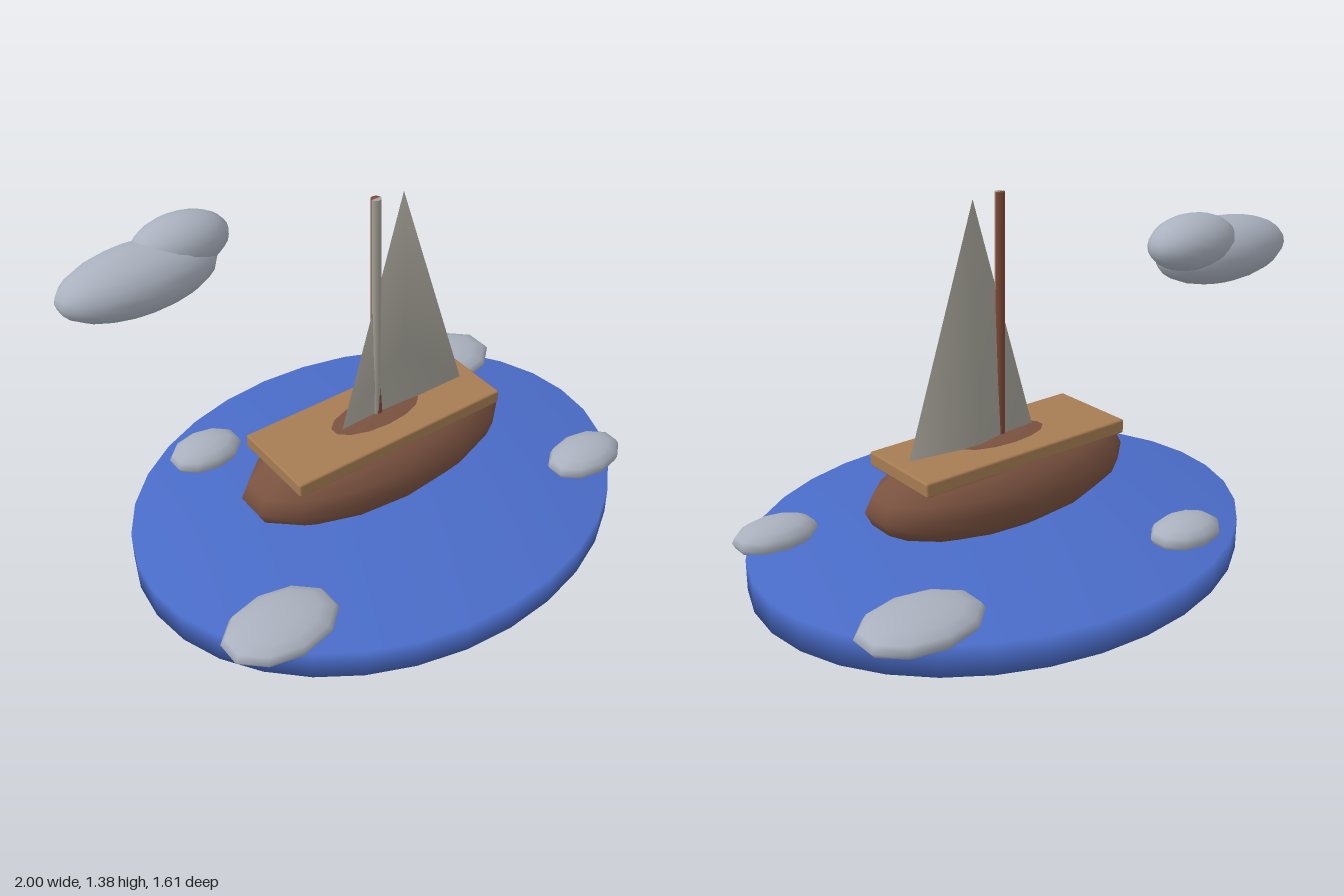
import * as THREE from 'three';
import { mergeVertices } from 'three/addons/utils/BufferGeometryUtils.js';
import { RoundedBoxGeometry } from 'three/addons/geometries/RoundedBoxGeometry.js';

const paint = (name, color, side = THREE.FrontSide) => {
  const m = new THREE.MeshStandardMaterial({ color, side });
  m.name = name;
  return m;
};

export function createModel() {
  const water = paint('water blue', 0x4a6cc8);
  const hullBrown = paint('hull brown', 0x7a5240);
  const deckTan = paint('deck tan', 0xa67c52);
  const mist = paint('cloud grey', 0xaab1be);
  const canvas = paint('sail grey', 0xa5a298, THREE.DoubleSide);
  const mastBrown = paint('mast brown', 0x7d4836, THREE.DoubleSide);

  const model = new THREE.Group();
  model.name = 'sailboatScene';
  const add = (name, geometry, material, [x, y, z]) => {
    const mesh = new THREE.Mesh(geometry, material);
    mesh.name = name;
    mesh.position.set(x, y, z);
    model.add(mesh);
    return mesh;
  };

  // Ellipsoid whose ring has a corner at each z end
  const ellipsoid = (rx, ry, rz, sides, rings) =>
    new THREE.SphereGeometry(1, sides, rings).rotateY(Math.PI / 2).scale(rx, ry, rz);

  // Soft-edged oval of water
  let sea = new THREE.CylinderGeometry(1, 1, 0.12, 32).scale(0.985, 1, 0.805);
  sea.deleteAttribute('normal');
  sea.deleteAttribute('uv');
  sea = mergeVertices(sea);
  sea.computeVertexNormals();
  add('sea', sea, water, [0.015, 0.06, 0]);

  // Hull rises slightly through the deck
  add('hull', ellipsoid(0.58, 0.177, 0.254, 14, 10), hullBrown, [0.012, 0.299, -0.002]);
  add('deck', new RoundedBoxGeometry(0.92, 0.055, 0.355, 2, 0.008), deckTan, [0.012, 0.4375, -0.003]);

  // Mast: pale front half, brown back half, tapered brown foot
  const halfMast = (start) =>
    new THREE.CylinderGeometry(0.019, 0.019, 0.94, 6, 1, false, start, Math.PI);
  add('mastFront', halfMast(-Math.PI / 2), canvas, [0.012, 0.91, 0]);
  add('mastBack', halfMast(Math.PI / 2), mastBrown, [0.012, 0.91, 0]);
  add('mastFoot', new THREE.CylinderGeometry(0.006, 0.018, 0.2, 8), mastBrown, [0.018, 0.55, 0.006]);

  // Thin triangular sail, bellied towards the back
  const sail = new THREE.BufferGeometry();
  sail.setAttribute('position', new THREE.Float32BufferAttribute([
    -0.15, 0.465, 0.01,
    0.41, 0.465, 0.013,
    0.13, 1.37, 0,
    0.13, 0.73, 0.015,
    0.13, 0.465, -0.034,
  ], 3));
  sail.setIndex([0, 1, 3, 1, 2, 3, 2, 0, 3, 1, 4, 2, 4, 0, 2, 0, 4, 1]);
  sail.computeVertexNormals();
  add('sail', sail, canvas, [0, 0, 0]);

  // Foam patches on the water: x, z, radius x, radius z
  [
    [-0.705, 0.416, 0.224, 0.154],
    [0.697, -0.45, 0.239, 0.165],
    [0.76, 0.383, 0.168, 0.109],
    [-0.435, -0.537, 0.152, 0.107],
  ].forEach(([x, z, rx, rz], i) =>
    add('foam' + (i + 1), ellipsoid(rx, 0.06, rz, 10, 8), mist, [x, 0.14, z]));

  // Cloud in the sky
  add('cloudLarge', ellipsoid(0.302, 0.117, 0.147, 18, 14), mist, [-0.7, 1.137, -0.389]);
  add('cloudSmall', ellipsoid(0.186, 0.1, 0.117, 18, 14), mist, [-0.516, 1.2, -0.418]);

  return model;
}
